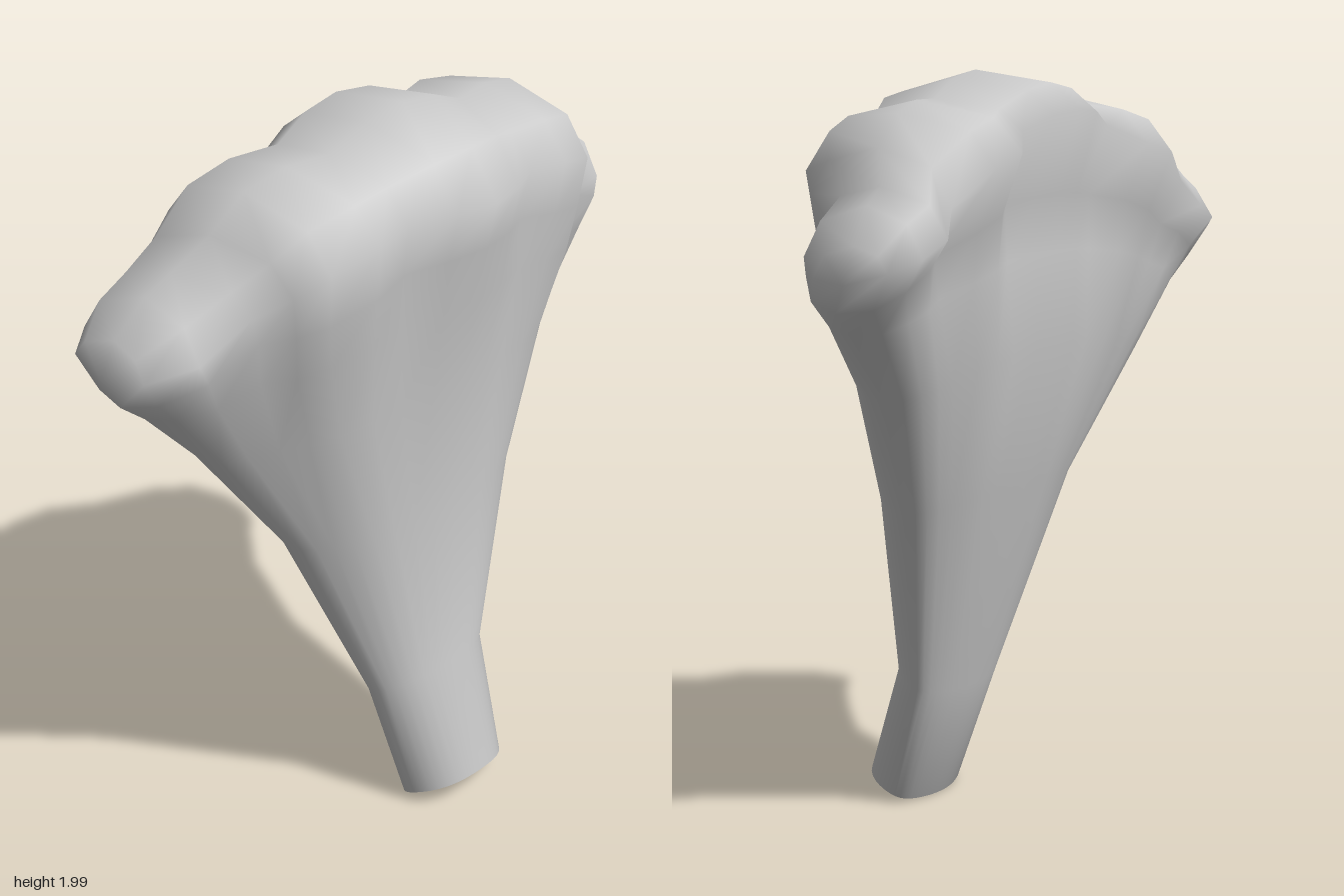
import * as THREE from 'three';
import { mergeVertices } from 'three/addons/utils/BufferGeometryUtils.js';

const HALF = 18, COLS = 36;

// Lobed rim, from the front centre round the +x end to the back centre
const RIM = [
  [0, 1.81, 0.325], [0.12, 1.81, 0.3], [0.24, 1.8, 0.24], [0.36, 1.79, 0.26], [0.5, 1.75, 0.225],
  [0.57, 1.7, 0.165], [0.63, 1.64, 0.08], [0.78, 1.56, 0.05], [0.88, 1.52, -0.04], [0.92, 1.51, -0.15],
  [0.9, 1.54, -0.26], [0.82, 1.57, -0.31], [0.72, 1.61, -0.32], [0.65, 1.68, -0.29], [0.5, 1.77, -0.33],
  [0.36, 1.8, -0.325], [0.24, 1.85, -0.26], [0.12, 1.89, -0.29], [0, 1.9, -0.3],
];

// Crest along the top, [x, y] from the centre to the +x end
const CREST = [
  [0, 2], [0.13, 1.98], [0.25, 1.93], [0.38, 1.93], [0.51, 1.9],
  [0.62, 1.82], [0.7, 1.73], [0.78, 1.69], [0.87, 1.6], [0.92, 1.51],
];

// Stem rings: half width, centre height, drop and backward bend at the ends, tilt, z centre, half depth, lobe weight
const STEM = [
  { w: 0.17, y: 0.045, drop: 0.012, bend: 0.3, tilt: 0.037, zc: 0.215, zh: 0.095, lobe: 0 },
  { w: 0.21, y: 0.365, drop: 0.012, bend: 0.15, tilt: 0.035, zc: 0.105, zh: 0.095, lobe: 0 },
  { w: 0.42, y: 0.9, drop: 0.03, bend: 0.2, tilt: 0, zc: 0.025, zh: 0.168, lobe: 0.1 },
  { w: 0.65, y: 1.28, drop: 0.08, bend: 0.3, tilt: 0, zc: -0.012, zh: 0.23, lobe: 0.35 },
  { w: 0.82, y: 1.53, drop: 0.15, bend: 0.42, tilt: 0, zc: 0.008, zh: 0.262, lobe: 0.75 },
  { w: 0.895, y: 1.68, drop: 0.24, bend: 0, tilt: 0, zc: 0.015, zh: 0.278, lobe: 1 },
];

function stemPoint({ w, y, drop, bend, tilt, zc, zh, lobe }, k) {
  const a = (Math.PI * k) / HALF;
  const nx = THREE.MathUtils.lerp(Math.sin(a), RIM[k][0] / 0.92, lobe);
  const nz = THREE.MathUtils.lerp(Math.cos(a) - bend * Math.sin(a) ** 4, RIM[k][2] / 0.325, lobe);
  return [w * nx, y - drop * nx * nx + tilt * Math.cos(a), zc + zh * nz];
}

// Rounds each column over from the rim to the crest
function domePoint(phi, k) {
  const m = Math.min(k, HALF - k);
  const c = Math.cos(phi), s = Math.sin(phi);
  const zMid = (RIM[m][2] + RIM[HALF - m][2]) / 2;
  const [x, y, z] = RIM[k];
  return [
    CREST[m][0] + c * (x - CREST[m][0]),
    y + s * (CREST[m][1] - y),
    zMid + c * (z - zMid),
  ];
}

// Mirrors a half ring into a full ring
function fullRing(pointAt) {
  return Array.from({ length: COLS }, (_, j) => {
    const [x, y, z] = pointAt(j <= HALF ? j : COLS - j);
    return [j <= HALF ? x : -x, y, z];
  });
}

export function createModel() {
  const group = new THREE.Group();

  // Stem spreading into the lobed cap
  const rings = STEM.map((r) => fullRing((k) => stemPoint(r, k)));
  for (const deg of [0, 43, 90]) {
    rings.push(fullRing((k) => domePoint(THREE.MathUtils.degToRad(deg), k)));
  }
  const points = rings.flat();
  const index = [];
  for (let r = 0; r < rings.length - 1; r++) {
    for (let j = 0; j < COLS; j++) {
      const a = r * COLS + j, b = r * COLS + ((j + 1) % COLS);
      index.push(a, b, b + COLS, a, b + COLS, a + COLS);
    }
  }

  // Tilted cut at the foot of the stem, shaded smoothly into its side
  const foot = points.push([0, STEM[0].y, STEM[0].zc]) - 1;
  for (let j = 0; j < COLS; j++) index.push(foot, (j + 1) % COLS, j);

  const geometry = new THREE.BufferGeometry();
  geometry.setAttribute('position', new THREE.Float32BufferAttribute(points.flat(), 3));
  geometry.setIndex(index);
  const merged = mergeVertices(geometry, 1e-4);
  merged.computeVertexNormals();

  const body = new THREE.Mesh(merged, new THREE.MeshStandardMaterial({ color: 0xcccccc }));
  body.name = 'lobedFan';
  group.add(body);
  return group;
}
